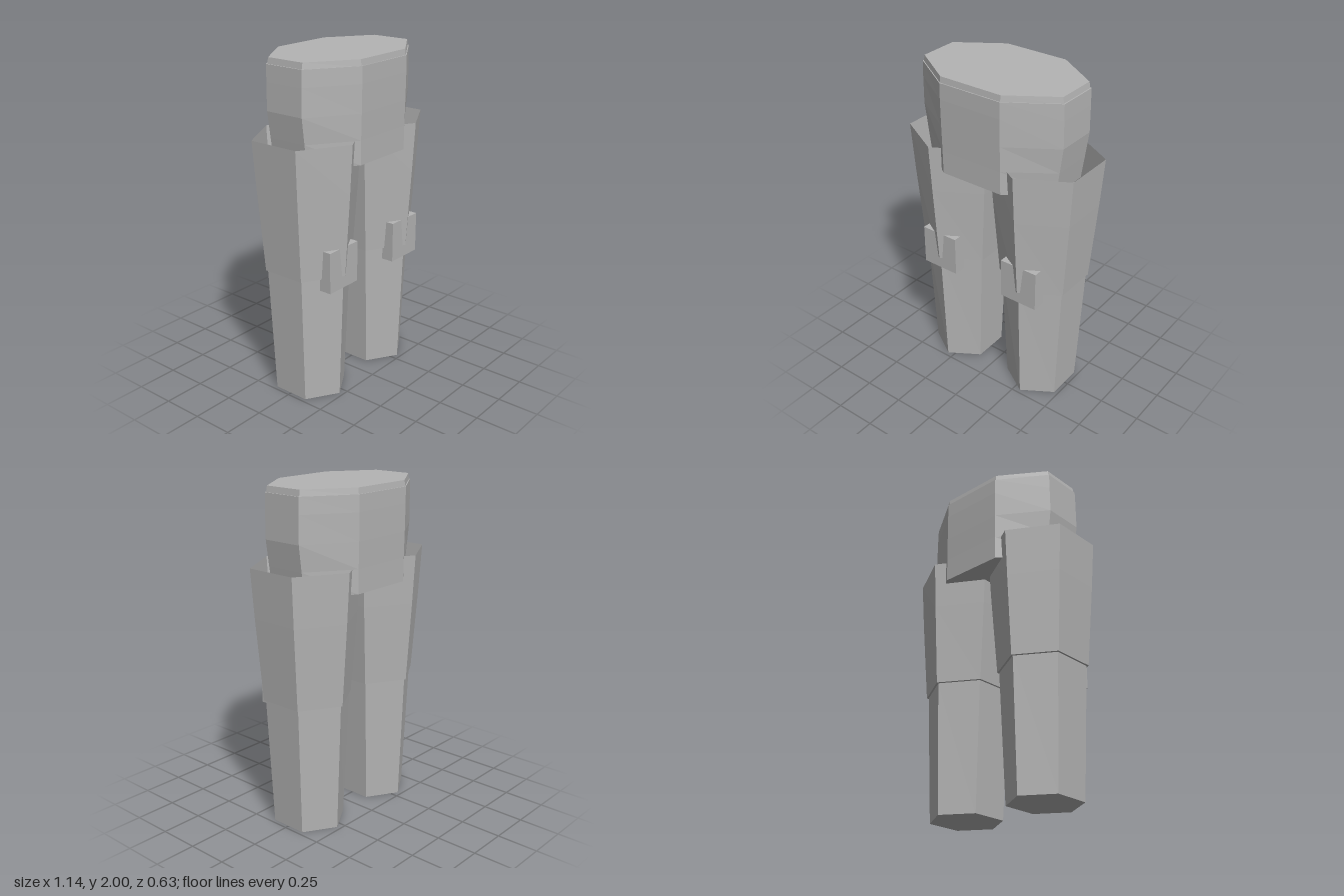
import * as THREE from 'three';

// Skin a stack of equal-sided rings, bottom to top, with optional flat ends
function loft(rings, capTop, capBottom) {
  const pos = [];
  const tri = (a, b, c) => pos.push(...a, ...b, ...c);
  const n = rings[0].length;
  for (let r = 0; r < rings.length - 1; r++) {
    for (let i = 0; i < n; i++) {
      const j = (i + 1) % n, lo = rings[r], hi = rings[r + 1];
      tri(lo[i], hi[i], hi[j]);
      tri(lo[i], hi[j], lo[j]);
    }
  }
  const top = rings[rings.length - 1], bottom = rings[0];
  for (let i = 1; i < n - 1; i++) {
    if (capTop) tri(top[0], top[i + 1], top[i]);
    if (capBottom) tri(bottom[0], bottom[i], bottom[i + 1]);
  }
  const geo = new THREE.BufferGeometry();
  geo.setAttribute('position', new THREE.Float32BufferAttribute(pos, 3));
  geo.computeVertexNormals();
  return geo;
}

// Six-sided leg section with ridges at front and back
function hexRing(y, halfWidth, halfDepth) {
  return Array.from({ length: 6 }, (_, i) => {
    const a = Math.PI / 2 + (i * Math.PI) / 3;
    return [(Math.cos(a) * halfWidth) / Math.cos(Math.PI / 6), y, Math.sin(a) * halfDepth];
  });
}

// Eight-sided waist section with broad front and back faces
function waistRing(y, w, d) {
  const c = 0.2, s = d * 0.41;
  return [[w, s], [c, d], [-c, d], [-w, s], [-w, -s], [-c, -d], [c, -d], [w, -s]]
    .map(([x, z]) => [x, y, z]);
}

export function createModel() {
  const model = new THREE.Group();
  model.name = 'trousers';
  const grey = new THREE.MeshStandardMaterial({ color: 0xb4b4b4, flatShading: true, side: THREE.DoubleSide });
  grey.name = 'grey';

  const add = (parent, name, geo) => {
    const mesh = new THREE.Mesh(geo, grey);
    mesh.name = name;
    parent.add(mesh);
    return mesh;
  };

  // Hips and the narrower waistband on top
  add(model, 'hips', loft([
    waistRing(1.42, 0.44, 0.3),
    waistRing(1.56, 0.46, 0.301),
    waistRing(1.71, 0.48, 0.304),
    waistRing(1.87, 0.478, 0.306),
    waistRing(1.965, 0.476, 0.305),
  ], true, true));
  add(model, 'waistband', loft([
    waistRing(1.96, 0.47, 0.3),
    waistRing(2, 0.464, 0.295),
  ], true, false));

  for (const side of [1, -1]) {
    const leg = new THREE.Group();
    leg.name = side > 0 ? 'leftLeg' : 'rightLeg';
    leg.position.x = side * 0.2925;
    model.add(leg);

    // Lower leg tapers to the ankle
    add(leg, 'lowerLeg', loft([hexRing(0, 0.182, 0.225), hexRing(0.78, 0.216, 0.255)], false, true));

    // Upper leg is an open cup around the hips
    add(leg, 'upperLeg', loft([
      hexRing(0.782, 0.226, 0.267),
      hexRing(1.27, 0.262, 0.3),
      hexRing(1.56, 0.28, 0.317),
    ], false, true));

    // Knee block, pierced by the front ridge
    add(leg, 'kneePad', new THREE.BoxGeometry(0.242, 0.245, 0.12)).position.set(0, 0.832, 0.198);
  }
  return model;
}
